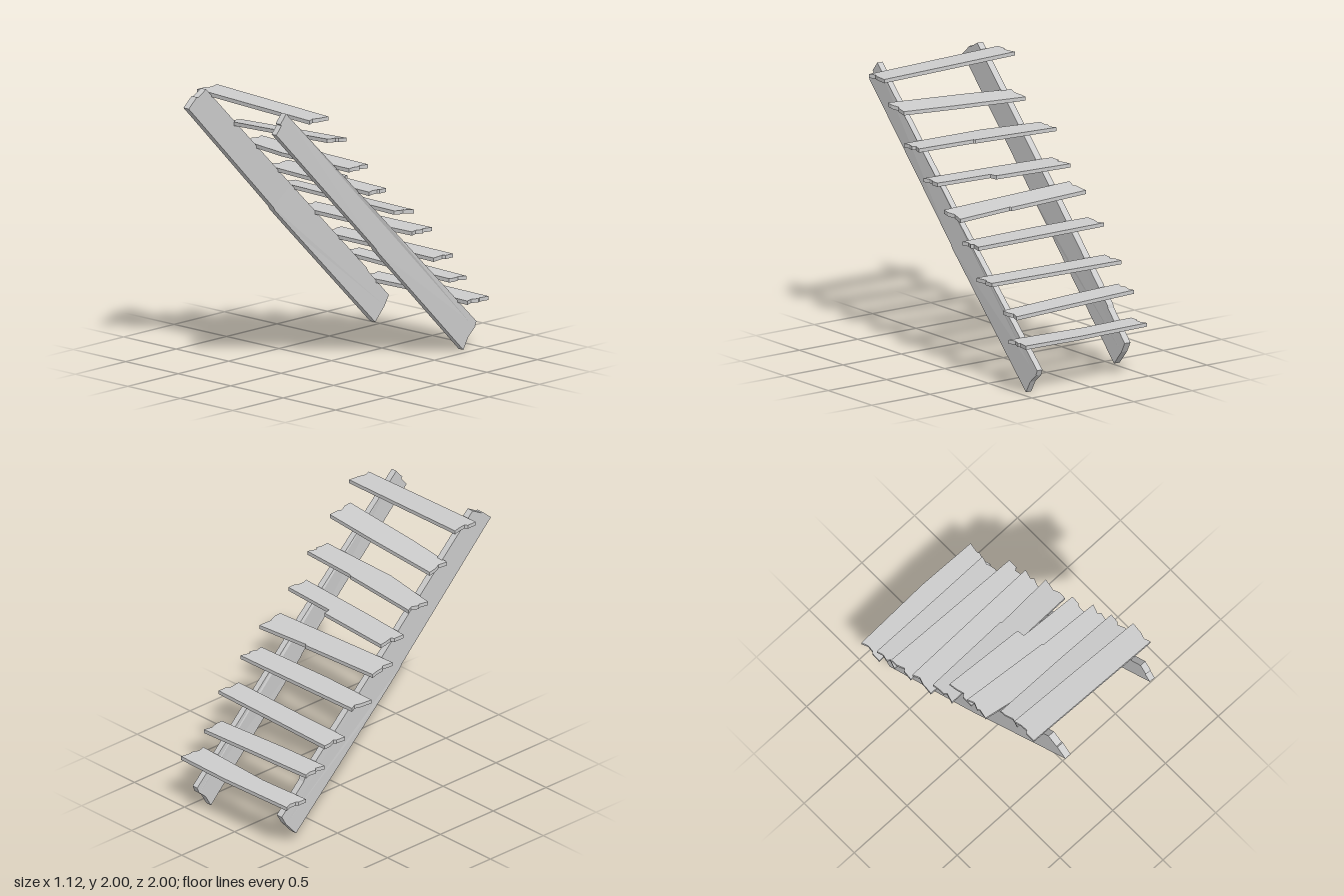
import * as THREE from 'three';

const wood = new THREE.MeshStandardMaterial({ color: 0xcccccc });
wood.name = 'plain wood';

// Extrudes an outline, then moves every vertex by a rule; faces stay flat.
function board(name, outline, thickness, place) {
  const shape = new THREE.Shape(outline.map(([a, b]) => new THREE.Vector2(a, b)));
  const geo = new THREE.ExtrudeGeometry(shape, { depth: thickness, bevelEnabled: false });
  const p = geo.attributes.position;
  for (let i = 0; i < p.count; i++) {
    p.setXYZ(i, ...place(p.getX(i), p.getY(i), p.getZ(i) - thickness / 2));
  }
  geo.computeVertexNormals();
  const mesh = new THREE.Mesh(geo, wood);
  mesh.name = name;
  return mesh;
}

// Splintered edge between two corners: three points pushed inwards along x
function splinter(x, zStart, zEnd, inward, seed) {
  return [0.38, 0.46, 0.74].map((t, k) => [
    x + inward * 0.012 * (1 + Math.sin(seed * 2.3 + k * 4)),
    zStart + (zEnd - zStart) * t,
  ]);
}

// Side beams: outline in (z, y); x drifts from the low end through the middle to the top
const stringers = [
  {
    name: 'leftStringer', width: 0.045, x: [0.417, 0.415, 0.393],
    outline: [[0.98, 1.84], [0.93, 1.9], [0.94, 1.91], [0.885, 1.975], [0, 1.123],
      [-0.98, 0.18], [-0.96, 0.135], [-0.97, 0.145], [-0.9, 0.085], [-0.85, 0], [0, 0.845], [0.015, 0.87]],
  },
  {
    name: 'rightStringer', width: 0.05, x: [-0.37, -0.407, -0.425],
    outline: [[0.95, 1.84], [1, 1.89], [0.92, 1.96], [0.91, 1.955], [0.83, 2], [0, 1.18],
      [-0.72, 0.468], [-0.73, 0.445], [-0.93, 0.24], [-0.89, 0.17], [-0.8, 0.07], [0, 0.866], [0.16, 1.025], [0.175, 1.05]],
  },
];

// Treads: end heights y, pitch along z, end positions x,
// back and front edges as z at the -x end, the middle and the +x end, chip in the back edge
const treads = [
  { y: [0.36, 0.36], pitch: 0, x: [-0.5, 0.545], back: [-0.98, -1, -0.99], front: [-0.8, -0.82, -0.785], chip: 0 },
  { y: [0.56, 0.53], pitch: 0.05, x: [-0.515, 0.497], back: [-0.81, -0.815, -0.82], front: [-0.635, -0.635, -0.655], chip: 0 },
  { y: [0.73, 0.73], pitch: 0, x: [-0.53, 0.56], back: [-0.65, -0.632, -0.62], front: [-0.455, -0.45, -0.435], chip: 0 },
  { y: [0.945, 0.945], pitch: 0, x: [-0.555, 0.538], back: [-0.415, -0.428, -0.435], front: [-0.23, -0.222, -0.245], chip: 0 },
  { y: [1.145, 1.12], pitch: 0.13, x: [-0.55, 0.55], back: [-0.215, -0.232, -0.245], front: [-0.025, -0.035, -0.05], chip: 0.01 },
  { y: [1.305, 1.305], pitch: 0, x: [-0.505, 0.545], back: [-0.095, -0.055, 0.025], front: [0.12, 0.152, 0.19], chip: 0.055 },
  { y: [1.51, 1.51], pitch: 0, x: [-0.55, 0.558], back: [0.125, 0.185, 0.218], front: [0.31, 0.388, 0.4], chip: 0.01 },
  { y: [1.695, 1.74], pitch: 0.13, x: [-0.482, 0.542], back: [0.39, 0.4, 0.415], front: [0.553, 0.58, 0.605], chip: 0 },
  { y: [1.955, 1.92], pitch: 0, x: [-0.535, 0.56], back: [0.58, 0.6, 0.615], front: [0.775, 0.783, 0.795], chip: 0 },
];

function treadOutline({ x: [x0, x1], back, front, chip }, seed) {
  const edge = [[x0, back[0]], [0.1, back[1]]];
  if (chip) edge.push([0.11, back[1] + chip]);
  return [
    ...edge, [x1, back[2]],
    ...splinter(x1, back[2], front[2], -1, seed),
    [x1 - 0.005, front[2]], [-0.1, front[1]], [x0, front[0]],
    ...splinter(x0, front[0], back[0], 1, seed + 5),
  ];
}

export function createModel() {
  const group = new THREE.Group();
  group.name = 'woodenStairs';

  for (const { name, width, x, outline } of stringers) {
    const drift = (z) => x[1] + Math.abs(z) * ((z < 0 ? x[0] : x[2]) - x[1]);
    group.add(board(name, outline, width, (a, b, c) => [drift(a) - c, b, a]));
  }

  treads.forEach((tread, i) => {
    const { y, pitch, x, back, front } = tread;
    const zMid = (back[1] + front[1]) / 2;
    group.add(board(`tread${i + 1}`, treadOutline(tread, i), 0.027, (a, b, c) => [
      a, y[0] + (y[1] - y[0]) * (a - x[0]) / (x[1] - x[0]) + pitch * (b - zMid) - c, b]));
  });

  return group;
}
